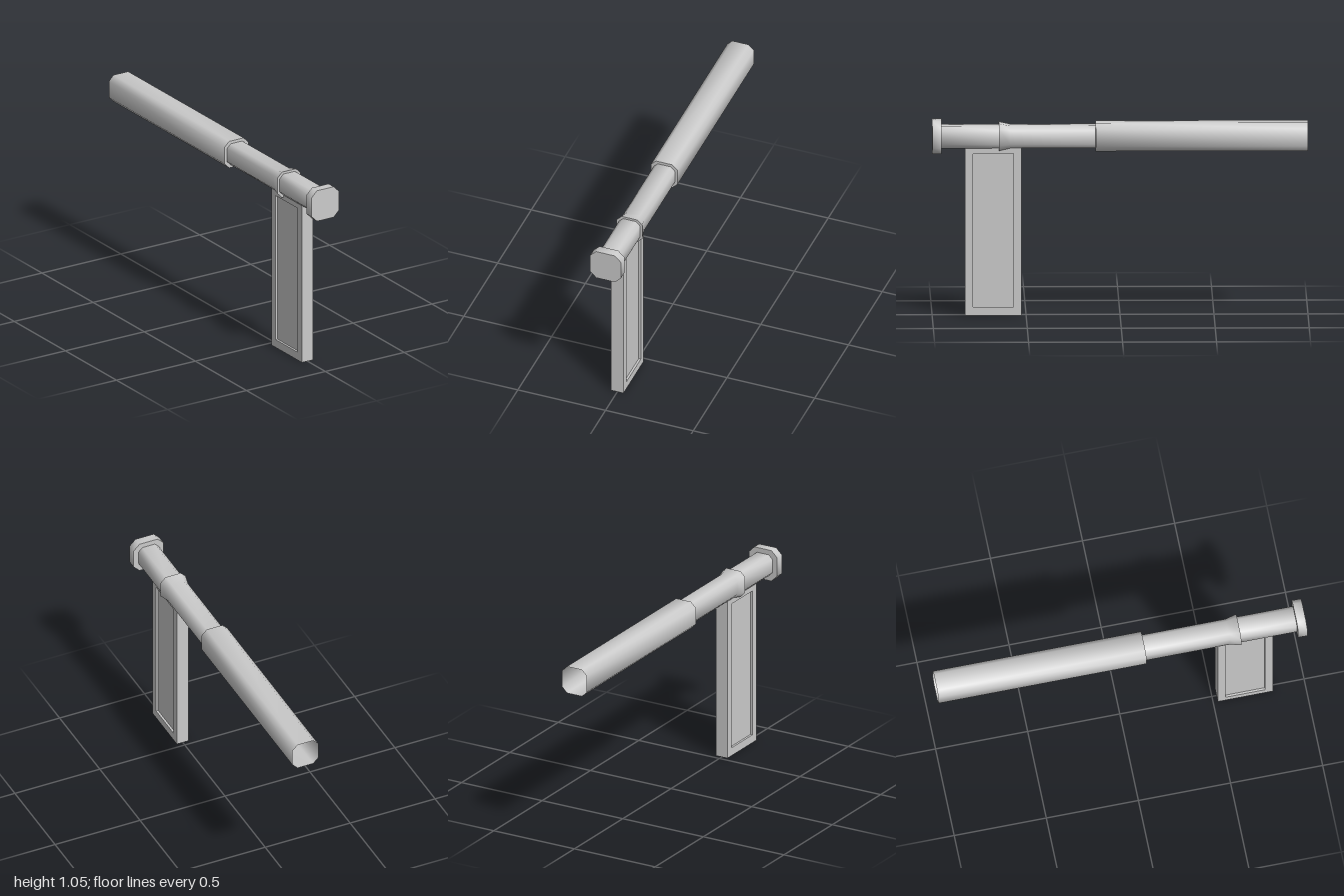
import * as THREE from 'three';
import { toCreasedNormals } from 'three/addons/utils/BufferGeometryUtils.js';

const AXIS_Y = 0.96;

// Square with chamfered corners, counter-clockwise, for half-width 1
const C = 0.61;
const SECTION = [[1, -C], [1, C], [C, 1], [-C, 1], [-1, C], [-1, -C], [-C, -1], [C, -1]];

// Lofts the section through [z, halfWidth] stations running from front to back
function loft(stations) {
  const pos = [];
  const point = ([z, h], i) => {
    const [x, y] = SECTION[i % 8];
    return [x * h, AXIS_Y + y * h, z];
  };
  for (let s = 0; s < stations.length - 1; s++) {
    const a = stations[s], b = stations[s + 1];
    for (let i = 0; i < 8; i++) {
      const a0 = point(a, i), a1 = point(a, i + 1), b0 = point(b, i), b1 = point(b, i + 1);
      if (a[1] > 0) pos.push(...a0, ...b0, ...a1);
      pos.push(...a1, ...b0, ...b1);
    }
  }
  const geo = new THREE.BufferGeometry();
  geo.setAttribute('position', new THREE.Float32BufferAttribute(pos, 3));
  return toCreasedNormals(geo, Math.PI / 3);
}

function rect(path, z0, z1, y0, y1) {
  path.moveTo(z0, y0);
  path.lineTo(z1, y0);
  path.lineTo(z1, y1);
  path.lineTo(z0, y1);
  path.closePath();
  return path;
}

export function createModel() {
  const group = new THREE.Group();
  const solid = new THREE.MeshStandardMaterial({ color: 0xcccccc });
  const open = new THREE.MeshStandardMaterial({ color: 0xcccccc, side: THREE.DoubleSide });
  const add = (name, geometry, material) => {
    const mesh = new THREE.Mesh(geometry, material);
    mesh.name = name;
    group.add(mesh);
    return mesh;
  };

  // One hollow tube: front cap, narrow tube, tapered collar, wide sleeve open at the back
  add('tube', loft([
    [1, 0], [1, 0.0875], [0.95, 0.0875], [0.95, 0.06],
    [0.645, 0.06], [0.645, 0.073], [0.585, 0.06],
    [0.13, 0.06], [0.13, 0.076], [-1, 0.076],
  ]), open);

  // Upright grip: a frame with a panel set back on both sides
  const width = 0.07, recess = 0.012;
  const shape = rect(new THREE.Shape(), 0.525, 0.825, 0, 0.9);
  shape.holes.push(rect(new THREE.Path(), 0.568, 0.782, 0.045, 0.87));
  const frame = new THREE.ExtrudeGeometry(shape, { depth: width, bevelEnabled: false });
  frame.rotateY(-Math.PI / 2).translate(width / 2, 0, 0);
  add('gripFrame', frame, solid);

  const panel = add('gripPanel', new THREE.BoxGeometry(width - 2 * recess, 0.825, 0.214), solid);
  panel.position.set(0, 0.4575, 0.675);

  return group;
}
